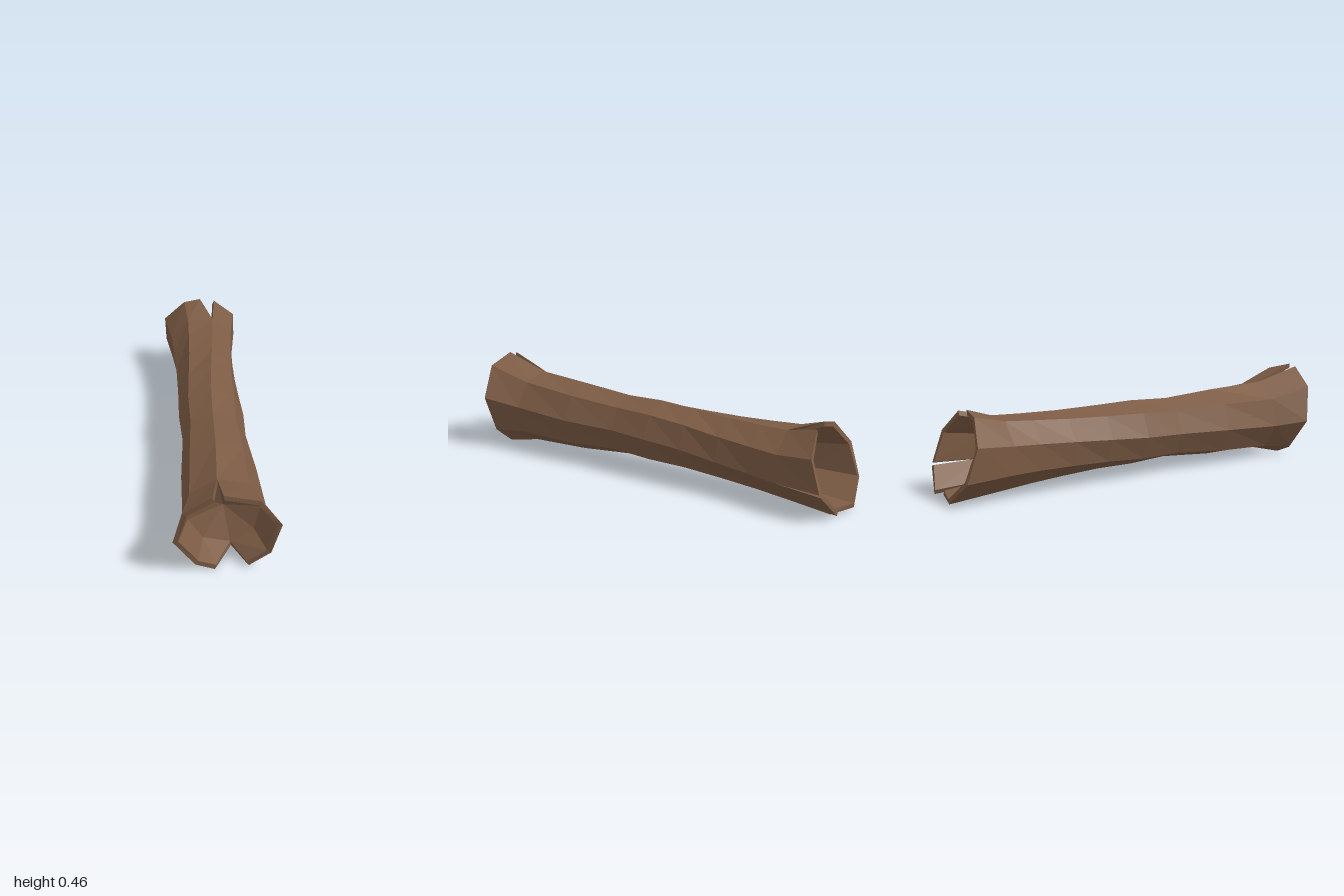
import * as THREE from 'three';

const SIDES = 8, RAD = Math.PI / 180;
const WALL = 0.023;

// Outer rings from back to front: [z, radius, centre height, twist in degrees]
const RINGS = [
  [-0.72, 0.172, 0.188, -20],
  [-0.58, 0.162, 0.190, -17],
  [-0.40, 0.154, 0.192, -12],
  [-0.20, 0.152, 0.196, -5],
  [0.00, 0.157, 0.196, 0],
  [0.20, 0.149, 0.196, 3],
  [0.48, 0.170, 0.193, 5],
  [0.78, 0.181, 0.197, 10],
];

// Flared, slanted ends. A split vertex lists the angle shift of its two lips
// (lower panel, upper panel) and a lengthwise shift of the lower lip.
const FRONT = {
  radius: 0.231, y: 0.22, twist: 10, plane: y => 0.908 + 0.212 * y,
  splits: { 2: [-5, 6.5, 0], 6: [-22, 14.5, 0] },
};
const BACK = {
  radius: 0.203, y: 0.197, twist: -20, plane: y => -1 + 0.33 * y,
  splits: { 0: [-2, 2, 0], 2: [-2, 20, 0], 7: [-2, 2, 0.04] },
};

const point = (deg, r, y, z) =>
  new THREE.Vector3(r * Math.cos(deg * RAD), y + r * Math.sin(deg * RAD), z);

// Collects flat faces
function faceList() {
  const positions = [];
  const tri = (...p) => p.forEach(v => positions.push(v.x, v.y, v.z));
  const quad = (a, b, c, d) => { tri(a, b, c); tri(a, c, d); };
  return { positions, tri, quad };
}

function makeMesh(name, faces, material) {
  const geometry = new THREE.BufferGeometry();
  geometry.setAttribute('position', new THREE.Float32BufferAttribute(faces.positions, 3));
  geometry.computeVertexNormals();
  const mesh = new THREE.Mesh(geometry, material);
  mesh.name = name;
  return mesh;
}

// Long twisted trunk between the two end rings
function trunk(material) {
  const faces = faceList();
  const at = (i, k) => {
    const [z, r, y, twist] = RINGS[i];
    return point(twist + k * 45, r, y, z);
  };
  for (let i = 0; i < RINGS.length - 1; i++) {
    for (let k = 0; k < SIDES; k++) {
      faces.quad(at(i, k), at(i, k + 1), at(i + 1, k + 1), at(i + 1, k));
    }
  }
  return makeMesh('trunk', faces, material);
}

// Hollow end: thick panels, split where lips part, and a conical hollow floor
function hollowEnd(name, end, ring, dir, material) {
  const walls = faceList(), floor = faceList();
  const [z, r, y, twist] = ring;
  const flip = list => (dir > 0 ? list : list.slice().reverse());
  const quad = (...p) => walls.quad(...flip(p));

  // Corner of a panel; lip 0 ends the lower panel, lip 1 starts the upper one
  const corner = (k, lip) => {
    const split = end.splits[k % SIDES];
    const deg = end.twist + k * 45 + (split ? split[lip] : 0);
    const outer = point(deg, end.radius, end.y, 0);
    outer.z = end.plane(outer.y) + (split && lip === 0 ? split[2] : 0);
    const inner = point(deg, end.radius - WALL, end.y, outer.z);
    const base = twist + k * 45;
    return { outer, inner, split,
      baseOuter: point(base, r, y, z), baseInner: point(base, r - WALL, y, z) };
  };

  const apex = new THREE.Vector3(0, y, z - dir * 0.06);
  for (let k = 0; k < SIDES; k++) {
    const a = corner(k, 1), b = corner(k + 1, 0);
    quad(a.baseOuter, b.baseOuter, b.outer, a.outer);
    quad(a.baseInner, a.inner, b.inner, b.baseInner);
    quad(a.outer, b.outer, b.inner, a.inner);
    if (a.split) quad(a.baseOuter, a.outer, a.inner, a.baseInner);
    if (b.split) quad(b.baseInner, b.inner, b.outer, b.baseOuter);
    floor.tri(...flip([apex, a.baseInner, b.baseInner]));
  }

  const group = new THREE.Group();
  group.name = name;
  group.add(makeMesh('splitRim', walls, material), makeMesh('hollowFloor', floor, material));
  return group;
}

export function createModel() {
  const bark = new THREE.MeshStandardMaterial({ color: 0x7d5c45, flatShading: true });
  const log = new THREE.Group();
  log.name = 'hollowLog';
  log.add(
    trunk(bark),
    hollowEnd('frontEnd', FRONT, RINGS[RINGS.length - 1], 1, bark),
    hollowEnd('backEnd', BACK, RINGS[0], -1, bark),
  );
  return log;
}
